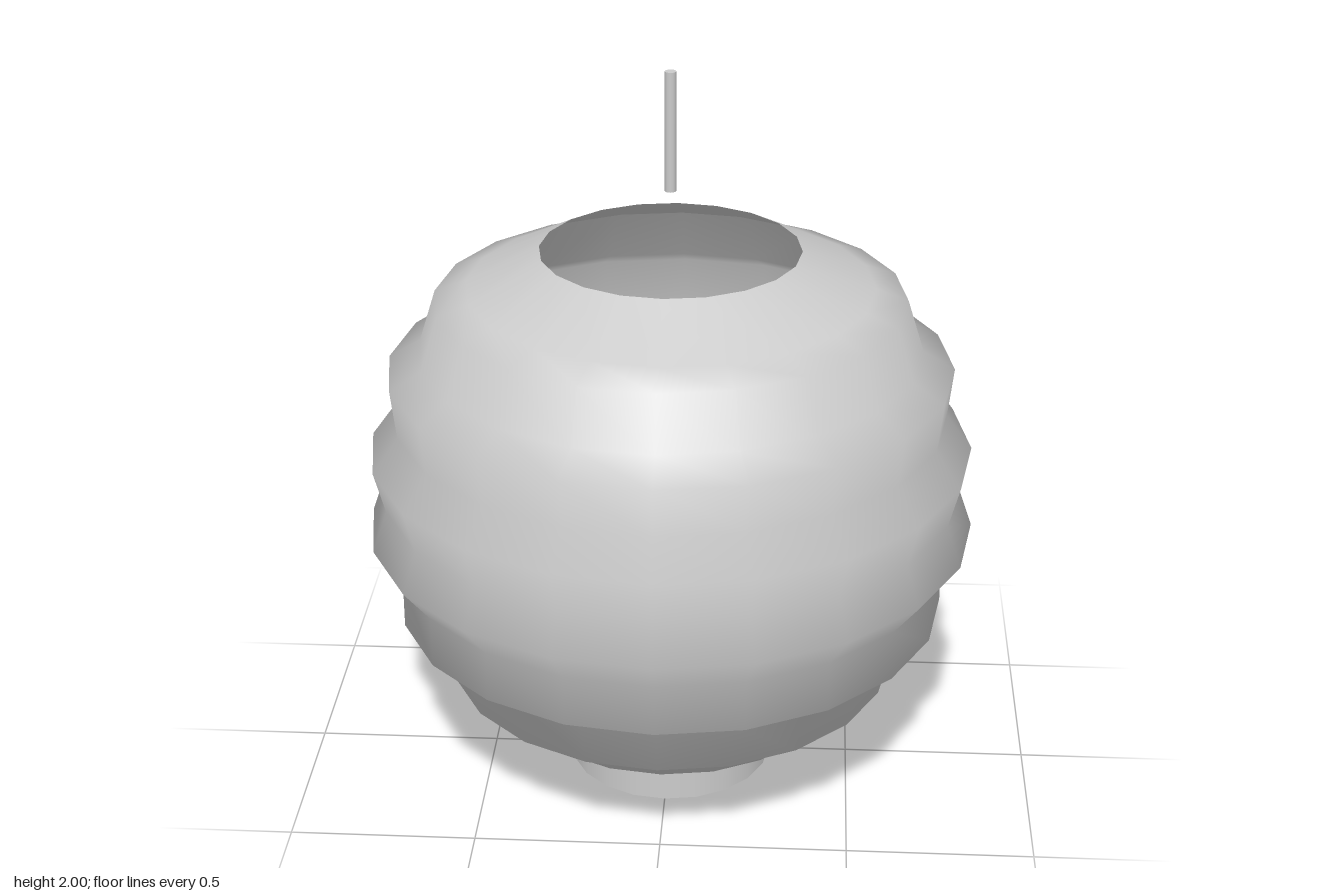
import * as THREE from 'three';

const SIDES = 20;

export function createModel() {
  const group = new THREE.Group();
  const solid = new THREE.MeshStandardMaterial({ color: 0xcccccc });
  const paper = new THREE.MeshStandardMaterial({ color: 0xcccccc, side: THREE.DoubleSide });

  const add = (name, geometry, material, y = 0) => {
    const mesh = new THREE.Mesh(geometry, material);
    mesh.name = name;
    mesh.position.y = y;
    group.add(mesh);
  };

  // Ribbed paper shade, open at the top: radius and height of each fold
  const profile = [
    [0.28, 0.14], [0.45, 0.19], [0.53, 0.305], [0.61, 0.307], [0.645, 0.45],
    [0.745, 0.5], [0.745, 0.64], [0.82, 0.735], [0.78, 0.85], [0.81, 0.965],
    [0.74, 1.06], [0.755, 1.195], [0.67, 1.245], [0.625, 1.388], [0.54, 1.42],
    [0.345, 1.52],
  ].map(([r, y]) => new THREE.Vector2(r, y));
  add('lanternShade', new THREE.LatheGeometry(profile, SIDES), paper);

  // Closed collar under the shade
  add('baseCollar', new THREE.CylinderGeometry(0.28, 0.28, 0.14, SIDES), solid, 0.07);

  // Hanging cord above the opening
  add('hangingCord', new THREE.CylinderGeometry(0.015, 0.015, 0.32, 12), solid, 1.84);

  return group;
}
